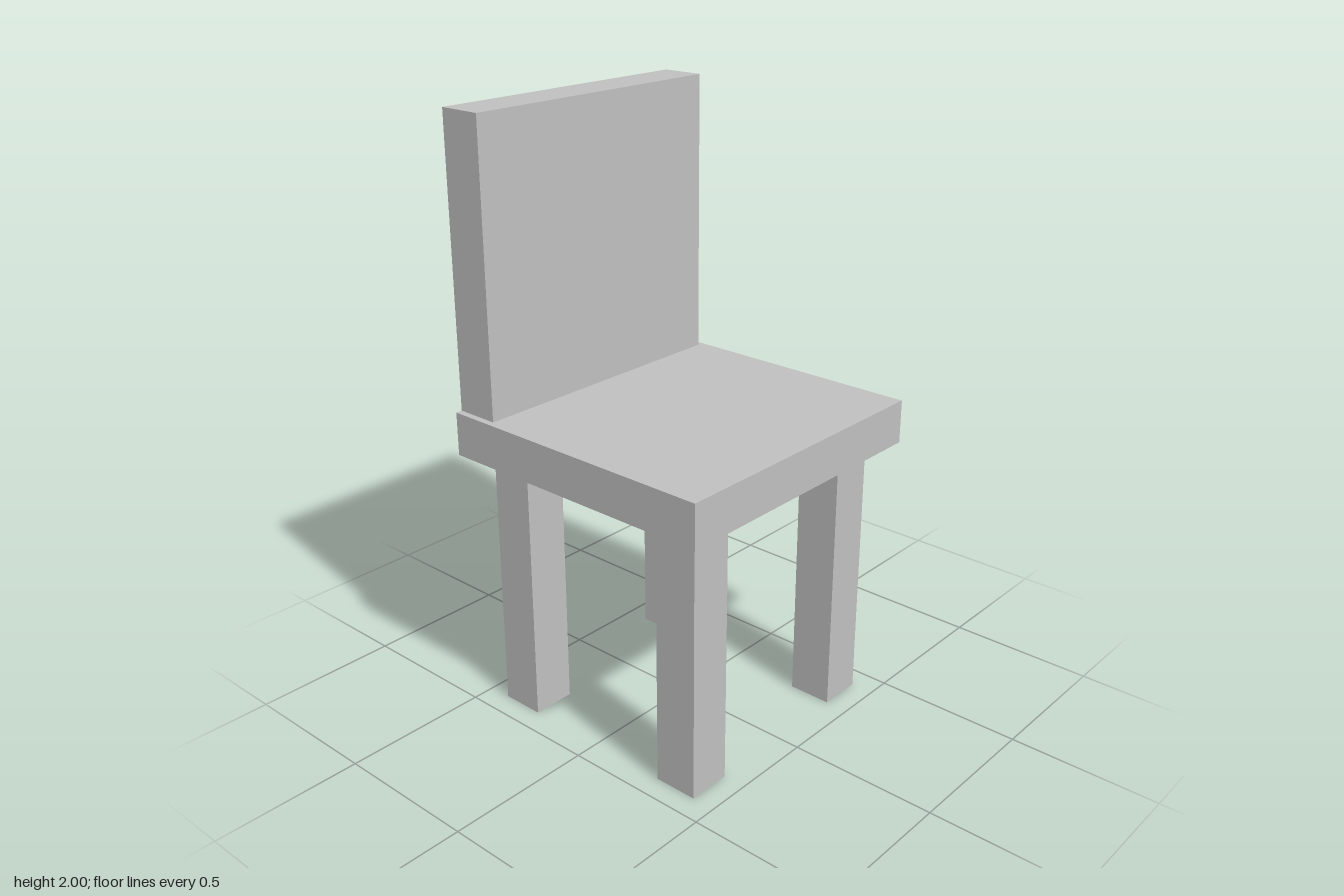
import * as THREE from 'three';

export function createModel() {
  const chair = new THREE.Group();
  chair.name = 'chair';

  const grey = new THREE.MeshStandardMaterial({ color: 0xbfbfbf });
  grey.name = 'grey';

  // Box given by its lower and upper limits on each axis
  function addBox(name, [x0, x1], [y0, y1], [z0, z1]) {
    const mesh = new THREE.Mesh(new THREE.BoxGeometry(x1 - x0, y1 - y0, z1 - z0), grey);
    mesh.position.set((x0 + x1) / 2, (y0 + y1) / 2, (z0 + z1) / 2);
    mesh.name = name;
    chair.add(mesh);
  }

  const seatBottom = 0.91, seatTop = 1.055, rear = -0.495;

  // Seat slab and backrest, flush at the rear
  addBox('seat', [-0.505, 0.505], [seatBottom, seatTop], [rear, 0.495]);
  addBox('backrest', [-0.483, 0.483], [seatTop, 2], [rear, -0.347]);

  // Four square legs
  const inner = 0.272, outer = 0.421;
  const span = (side) => (side > 0 ? [inner, outer] : [-outer, -inner]);
  for (const [zName, zSide] of [['front', 1], ['back', -1]]) {
    for (const [xName, xSide] of [['Left', 1], ['Right', -1]]) {
      addBox(`${zName}${xName}Leg`, span(xSide), [0, seatBottom], span(zSide));
    }
  }

  return chair;
}
